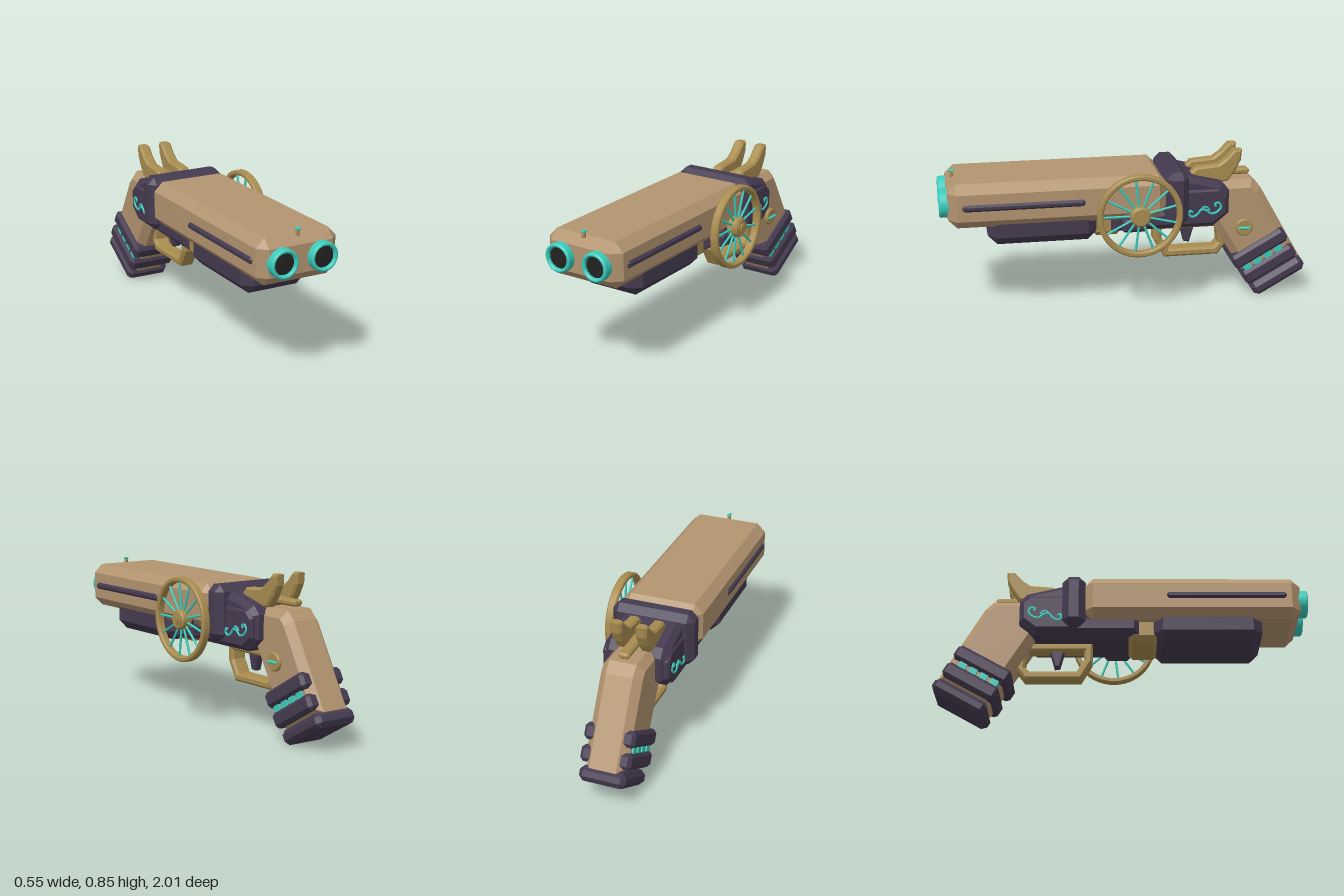
import * as THREE from 'three';
import { toCreasedNormals } from 'three/addons/utils/BufferGeometryUtils.js';
import { ConvexGeometry } from 'three/addons/geometries/ConvexGeometry.js';

const CX = -0.0375; // centre plane of the body; the wheel hangs off the left side

export function createModel() {
  const model = new THREE.Group();
  model.name = 'ornatePistol';

  const mat = (name, color) => {
    const m = new THREE.MeshStandardMaterial({ color });
    m.name = name;
    return m;
  };
  const tan = mat('tan', 0xb39470);
  const brass = mat('brass', 0xa88c50);
  const purple = mat('dark purple', 0x453a50);
  const teal = mat('teal', 0x3acdbd);
  const black = mat('bore black', 0x222222);

  const add = (name, geo, material, x = 0, y = 0, z = 0, parent = model) => {
    const mesh = new THREE.Mesh(geo, material);
    mesh.name = name;
    mesh.position.set(x, y, z);
    parent.add(mesh);
    return mesh;
  };

  // Box with every edge and corner cut
  const chamferBox = (w, h, d, c) => {
    const pts = [];
    for (const i of [-1, 1]) for (const j of [-1, 1]) for (const k of [-1, 1]) {
      const [x, y, z] = [i * w / 2, j * h / 2, k * d / 2];
      pts.push(new THREE.Vector3(x, y - j * c, z - k * c));
      pts.push(new THREE.Vector3(x - i * c, y, z - k * c));
      pts.push(new THREE.Vector3(x - i * c, y - j * c, z));
    }
    return new ConvexGeometry(pts);
  };

  // Side profile given as [z, y], extruded across x with a single bevel
  const vec = (pts) => pts.map(([a, b]) => new THREE.Vector2(a, b));
  const sideExtrude = (pts, halfWidth, bevel, hole) => {
    const shape = new THREE.Shape(vec(pts));
    if (hole) shape.holes.push(new THREE.Path(vec(hole)));
    const depth = 2 * (halfWidth - bevel);
    const geo = new THREE.ExtrudeGeometry(shape, {
      depth, bevelEnabled: true, bevelSegments: 1,
      bevelSize: bevel, bevelThickness: bevel, bevelOffset: -bevel,
    });
    return geo.translate(0, 0, -depth / 2).rotateY(-Math.PI / 2);
  };

  // Ring around the y axis with bevelled rims
  const ring = (ri, ro, h, c, segments) => {
    const profile = vec([[ri, -h + c], [ri + c, -h], [ro - c, -h], [ro, -h + c],
      [ro, h - c], [ro - c, h], [ri + c, h], [ri, h - c], [ri, -h + c]]);
    return toCreasedNormals(new THREE.LatheGeometry(profile, segments), 0.4);
  };

  // Barrel housing, fore-end and connector
  add('barrelHousing', chamferBox(0.455, 0.242, 1.167, 0.048), tan, CX, 0.651, 0.3735);
  add('foreEnd', chamferBox(0.38, 0.2, 0.585, 0.05), purple, CX, 0.513, 0.457);
  add('foreEndConnector', chamferBox(0.29, 0.13, 0.16, 0.025), brass, CX, 0.49, 0.11);
  for (const s of [-1, 1])
    add('sideRail', chamferBox(0.05, 0.038, 0.645, 0.012), purple, CX + s * 0.214, 0.651, 0.558);

  // Twin muzzles
  for (const s of [-1, 1]) {
    const x = CX + s * 0.1125;
    add('muzzleRing', ring(0.056, 0.076, 0.035, 0.007, 40).rotateX(Math.PI / 2), teal, x, 0.651, 0.965);
    add('muzzleBore', new THREE.CylinderGeometry(0.059, 0.059, 0.03, 40).rotateX(Math.PI / 2), black, x, 0.651, 0.966);
  }

  // Front sight
  add('sightBase', chamferBox(0.018, 0.03, 0.02, 0.004), brass, CX, 0.775, 0.923);
  add('sightBead', chamferBox(0.02, 0.012, 0.026, 0.003), teal, CX, 0.794, 0.923);

  // Receiver with collar and raised side plates
  add('receiver', sideExtrude([[0.09, 0.45], [0.09, 0.56], [-0.19, 0.56], [-0.19, 0.745], [-0.32, 0.745],
    [-0.52, 0.695], [-0.56, 0.65], [-0.56, 0.52], [-0.475, 0.45]], 0.172, 0.03), purple, CX);
  add('receiverCollar', chamferBox(0.455, 0.295, 0.125, 0.036), purple, CX, 0.631, -0.265);
  for (const s of [-1, 1])
    add('sidePlate', sideExtrude([[-0.24, 0.47], [-0.24, 0.67], [-0.5, 0.67], [-0.545, 0.63],
      [-0.545, 0.53], [-0.47, 0.47]], 0.02, 0.012), purple, CX + s * 0.163);

  // Scroll ornaments on both side plates
  const scroll = new THREE.CatmullRomCurve3([[-0.352, 0.548], [-0.338, 0.556], [-0.332, 0.535], [-0.352, 0.522],
    [-0.378, 0.535], [-0.4, 0.56], [-0.43, 0.553], [-0.452, 0.535], [-0.485, 0.542], [-0.508, 0.57],
    [-0.494, 0.595], [-0.474, 0.588], [-0.48, 0.574]].map(([z, y]) => new THREE.Vector3(0, y, z)));
  const leaf = new THREE.CatmullRomCurve3([[-0.4, 0.56], [-0.415, 0.575], [-0.43, 0.572], [-0.445, 0.555]]
    .map(([z, y]) => new THREE.Vector3(0, y, z)));
  for (const s of [-1, 1]) {
    add('scroll', new THREE.TubeGeometry(scroll, 60, 0.007, 6), teal, CX + s * 0.184);
    add('scrollLeaf', new THREE.TubeGeometry(leaf, 12, 0.006, 6), teal, CX + s * 0.184);
  }

  // Spoked wheel on the left side
  const wheel = new THREE.Group();
  wheel.name = 'wheel';
  wheel.position.set(0.2275, 0.573, -0.05);
  model.add(wheel);
  const disc = (r, h, n) => new THREE.CylinderGeometry(r, r, h, n).rotateZ(-Math.PI / 2);
  add('wheelRim', ring(0.2, 0.229, 0.023, 0.007, 48).rotateZ(-Math.PI / 2), brass, 0, 0, 0, wheel);
  add('wheelHub', ring(0.002, 0.055, 0.033, 0.01, 24).rotateZ(-Math.PI / 2), brass, 0, 0, 0, wheel);
  add('hubBoss', disc(0.038, 0.076, 24), brass, 0, 0, 0, wheel);
  add('hubNut', disc(0.027, 0.02, 6), brass, 0.038, 0, 0, wheel);
  for (let i = 0; i < 13; i++) {
    const spoke = new THREE.CylinderGeometry(0.0065, 0.0065, 0.17, 8).translate(0, 0.125, 0);
    add('spoke', spoke.rotateX(Math.PI / 2 + i * Math.PI * 2 / 13), teal, 0, 0, 0, wheel);
  }
  add('wheelAxle', disc(0.03, 0.1, 16), purple, 0.165, 0.573, -0.05);
  add('wheelBracket', chamferBox(0.08, 0.075, 0.14, 0.014), purple, 0.162, 0.506, -0.03);

  // Trigger and guard
  add('triggerGuard', sideExtrude(
    [[-0.165, 0.45], [-0.165, 0.345], [-0.225, 0.24], [-0.53, 0.24], [-0.575, 0.3], [-0.55, 0.45]],
    0.046, 0.012,
    [[-0.21, 0.405], [-0.52, 0.405], [-0.53, 0.31], [-0.505, 0.285], [-0.25, 0.285], [-0.21, 0.355]]), brass, CX);
  add('trigger', sideExtrude([[-0.315, 0.42], [-0.325, 0.38], [-0.34, 0.32], [-0.37, 0.315],
    [-0.385, 0.37], [-0.4, 0.42]], 0.025, 0.008), purple, CX);

  // Twin hammers and the lever between them
  for (const s of [-1, 1])
    add('hammer', sideExtrude([[-0.36, 0.7], [-0.36, 0.742], [-0.385, 0.768], [-0.51, 0.778], [-0.555, 0.81],
      [-0.6, 0.86], [-0.64, 0.858], [-0.635, 0.8], [-0.605, 0.74], [-0.565, 0.685], [-0.45, 0.67]],
    0.031, 0.011), brass, CX + s * 0.0675);
  add('tangLever', chamferBox(0.06, 0.034, 0.27, 0.01), brass, CX, 0.714, -0.565);

  // Grip
  add('grip', sideExtrude([[-0.45, 0.5], [-0.45, 0.684], [-0.705, 0.684], [-0.753, 0.635],
    [-0.99, 0.217], [-0.715, 0.06]], 0.1125, 0.04), tan, CX);

  // Bands, inlays and butt cap, in a frame tilted along the grip
  const bands = new THREE.Group();
  bands.name = 'gripFittings';
  bands.position.set(CX, 0.635, -0.753);
  bands.rotation.x = THREE.MathUtils.degToRad(29.7);
  model.add(bands);
  add('upperBand', chamferBox(0.275, 0.086, 0.335, 0.018), purple, 0, -0.3, 0.176, bands);
  add('lowerBand', chamferBox(0.275, 0.086, 0.325, 0.018), purple, 0, -0.413, 0.172, bands);
  add('buttCap', chamferBox(0.252, 0.08, 0.325, 0.024), purple, 0, -0.512, 0.163, bands);
  for (const s of [-1, 1]) for (let i = 0; i < 4; i++)
    add('gripInlay', new THREE.BoxGeometry(0.04, 0.034, 0.046), teal, s * 0.1025, -0.356, 0.085 + i * 0.066, bands);

  // Medallion on the left side of the grip
  add('medallion', ring(0.001, 0.049, 0.012, 0.006, 24).rotateZ(-Math.PI / 2), brass, 0.08, 0.42, -0.657);
  add('medallionSlot', chamferBox(0.02, 0.014, 0.07, 0.004), teal, 0.094, 0.42, -0.657);

  return model;
}
